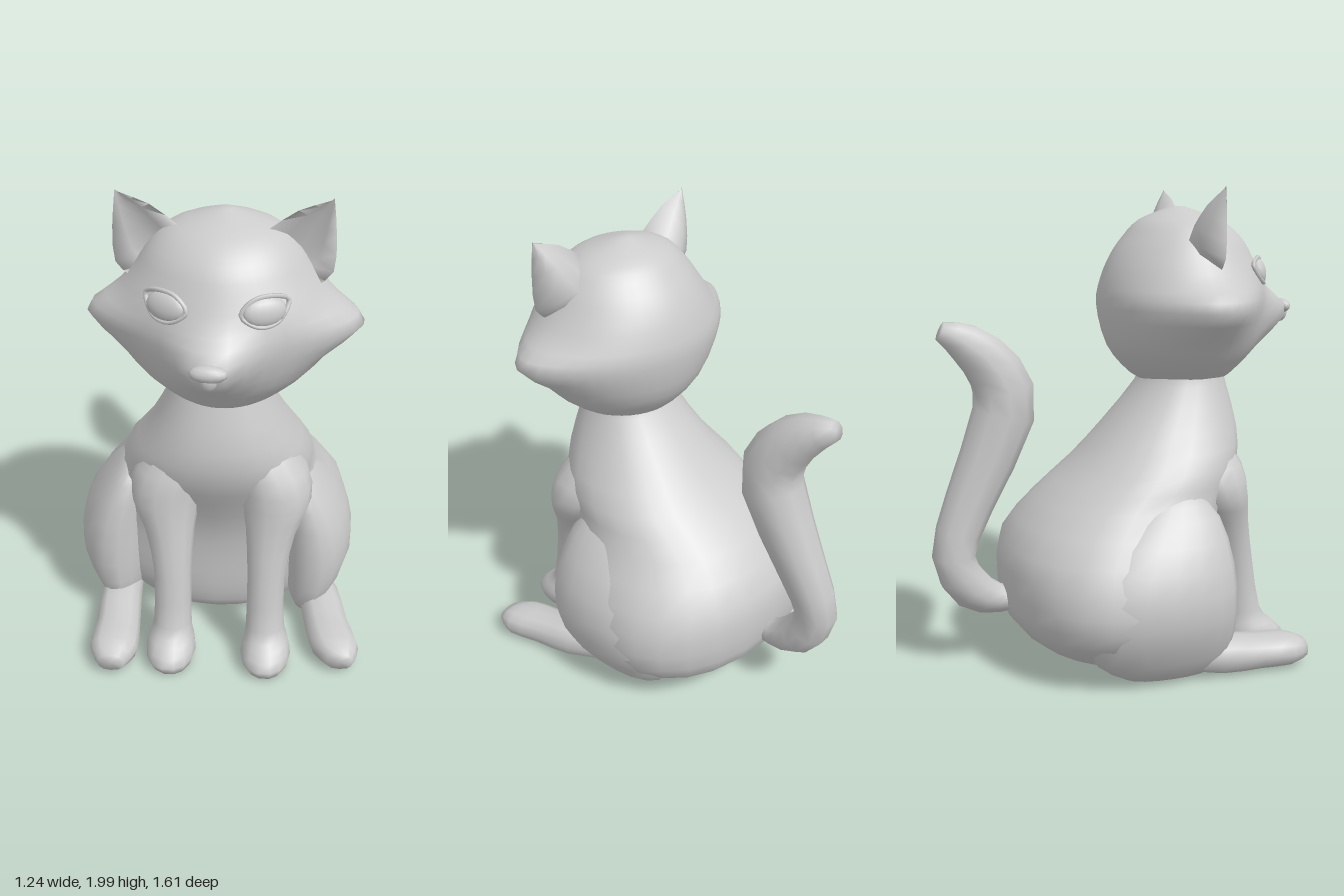
import * as THREE from 'three';

const V = (x, y, z) => new THREE.Vector3(x, y, z);
const X = V(1, 0, 0), Y = V(0, 1, 0), Z = V(0, 0, 1);
const material = new THREE.MeshStandardMaterial({ color: 0xcccccc });

function named(geometry, name) {
  const mesh = new THREE.Mesh(geometry, material);
  mesh.name = name;
  return mesh;
}

// Smooth in-between rows for a short list of cross-section rows
function refine(rows, steps) {
  const curve = new THREE.CubicInterpolant(rows.map((_, i) => i), rows.flat(), rows[0].length);
  const out = [];
  for (let i = 0; i <= (rows.length - 1) * steps; i++) out.push([...curve.evaluate(i / steps)]);
  return out;
}

// Rounded cross-section around c, spanned by the axes u and v (p = 2 is an ellipse)
function ring(c, u, v, ru, rv, p = 2, n = 18) {
  const bend = (t) => Math.sign(t) * Math.abs(t) ** (2 / p);
  return Array.from({ length: n }, (_, i) => {
    const a = (i / n) * Math.PI * 2;
    return c.clone().addScaledVector(u, ru * bend(Math.cos(a))).addScaledVector(v, rv * bend(Math.sin(a)));
  });
}

// Closed skin over a stack of rings; faces are turned outward by signed volume
function skin(rings) {
  const n = rings[0].length, pts = rings.flat(), idx = [];
  for (let r = 0; r < rings.length - 1; r++) {
    for (let i = 0; i < n; i++) {
      const a = r * n + i, b = r * n + ((i + 1) % n);
      idx.push(a, b, a + n, b, b + n, a + n);
    }
  }
  [rings[0], rings.at(-1)].forEach((ends, k) => {
    const mid = ends.reduce((s, p) => s.add(p), V(0, 0, 0)).divideScalar(n);
    const m = pts.push(mid) - 1, base = k ? (rings.length - 1) * n : 0;
    for (let i = 0; i < n; i++) {
      const a = base + i, b = base + ((i + 1) % n);
      k ? idx.push(a, b, m) : idx.push(b, a, m);
    }
  });
  let volume = 0;
  for (let i = 0; i < idx.length; i += 3) {
    volume += pts[idx[i]].dot(pts[idx[i + 1]].clone().cross(pts[idx[i + 2]]));
  }
  if (volume < 0) idx.reverse();
  const g = new THREE.BufferGeometry().setFromPoints(pts);
  g.setIndex(idx);
  g.computeVertexNormals();
  return g;
}

// Rows [y, x, z, rx, rz] stacked upward
const stack = (rows, p, n, steps = 2) => skin(refine(rows, steps)
  .map(([y, x, z, rx, rz]) => ring(V(x, y, z), X, Z, rx, rz, p, n)));

// Rows [y, front z, back z, half width, centre x] turned into stack rows
const fromProfile = (rows) => rows.map(([y, f, b, w, x]) => [y, x, (f + b) / 2, w, (f - b) / 2]);

function createHead() {
  const head = new THREE.Group();
  head.name = 'head';
  const skull = stack(fromProfile([
    [1.18, 0.45, 0.17, 0.15, 0], [1.22, 0.52, 0.08, 0.23, 0], [1.34, 0.61, -0.02, 0.36, 0],
    [1.51, 0.64, -0.06, 0.445, 0], [1.62, 0.64, -0.045, 0.4, 0], [1.72, 0.6, -0.005, 0.335, 0],
    [1.8, 0.55, 0.05, 0.28, 0], [1.87, 0.46, 0.12, 0.2, 0], [1.925, 0.31, 0.25, 0.03, 0],
  ]), 1.9, 40, 3);
  // Pull out the blunt muzzle and the pointed cheeks
  const pos = skull.attributes.position;
  for (let i = 0; i < pos.count; i++) {
    const x = pos.getX(i), y = pos.getY(i), z = pos.getZ(i);
    const drop = (y - 1.48) / (y < 1.48 ? 0.12 : 0.09);
    if (z > 0.3) pos.setZ(i, z + 0.155 * Math.exp(-(Math.abs(x / 0.14) ** 2.5) - drop ** 2));
    const cheek = Math.exp(-(((y - 1.51) / 0.085) ** 2) - ((z - 0.33) / 0.17) ** 2);
    pos.setX(i, x + 0.2 * x * cheek);
  }
  skull.computeVertexNormals();
  head.add(named(skull, 'skull'));

  const nose = named(new THREE.SphereGeometry(1, 14, 8), 'nose');
  nose.scale.set(0.07, 0.032, 0.035);
  nose.position.set(0, 1.495, 0.768);
  const noseTip = named(new THREE.SphereGeometry(1, 10, 8), 'noseTip');
  noseTip.scale.set(0.035, 0.045, 0.03);
  noseTip.position.set(0, 1.47, 0.766);
  head.add(nose, noseTip);

  for (const s of [-1, 1]) {
    const side = s < 0 ? 'right' : 'left';
    // Almond eye with a raised lid rim, outer corner up
    const eye = new THREE.Group();
    eye.name = side + 'Eye';
    const ball = named(new THREE.SphereGeometry(1, 16, 10), 'eyeball');
    ball.scale.set(0.082, 0.054, 0.028);
    const almond = new THREE.CatmullRomCurve3([
      V(0.098 * s, 0.03, -0.012), V(0.03 * s, 0.054, 0.006), V(-0.045 * s, 0.044, 0.006),
      V(-0.088 * s, -0.005, -0.004), V(-0.03 * s, -0.052, 0.006), V(0.045 * s, -0.042, 0.004),
    ], true);
    eye.add(ball, named(new THREE.TubeGeometry(almond, 28, 0.009, 6, true), 'eyelid'));
    eye.position.set(0.177 * s, 1.66, 0.588);
    eye.rotation.set(-0.25, 0.45 * s, 0, 'YXZ');
    head.add(eye);

    // Ear: rows are outer x, y, inner x, y, depth; hollow in front, rounded behind
    const ear = refine([
      [0.34, 1.66, 0.11, 1.83, 0.11], [0.405, 1.72, 0.16, 1.87, 0.11],
      [0.41, 1.86, 0.27, 1.95, 0.065], [0.395, 2, 0.385, 1.99, 0.004],
    ], 2).map(([ox, oy, ix, iy, d]) => {
      const outer = V(ox * s, oy, 0.35), inner = V(ix * s, iy, 0.35);
      const at = (t, k) => outer.clone().lerp(inner, t).add(V(0, 0, k * d * Math.sin(t * Math.PI)));
      return [at(0, 0), at(0.25, -0.4), at(0.5, -0.4), at(0.75, -0.4),
        at(1, 0), at(0.75, -1), at(0.5, -1), at(0.25, -1)];
    });
    head.add(named(skin(ear), side + 'Ear'));
  }
  // Slight turn to the model's right
  const pivot = new THREE.Group();
  pivot.name = 'turnedHead';
  head.position.z = -0.28;
  pivot.add(head);
  pivot.position.set(0.04, 0, 0.28);
  pivot.rotation.y = -0.06;
  return pivot;
}

function createTail() {
  // Rows: x, y, z, radius
  const rows = refine([
    [0, 0.3, -0.44, 0.055], [0, 0.29, -0.53, 0.062], [-0.01, 0.35, -0.65, 0.09],
    [-0.02, 0.5, -0.725, 0.09], [0, 0.72, -0.65, 0.103], [0.02, 1.08, -0.493, 0.13],
    [0.02, 1.26, -0.525, 0.117], [0.01, 1.38, -0.645, 0.085], [0, 1.435, -0.75, 0.04],
  ], 2);
  return skin(rows.map(([x, y, z, r], i) => {
    const a = rows[Math.max(i - 1, 0)], b = rows[Math.min(i + 1, rows.length - 1)];
    const across = V(0, b[1] - a[1], b[2] - a[2]).normalize().cross(X);
    return ring(V(x, y, z), X, across, r, r, 2, 10);
  }));
}

export function createModel() {
  const model = new THREE.Group();
  model.name = 'sittingCat';

  // Torso from seat to neck
  model.add(named(stack(fromProfile([
    [0.015, 0.24, -0.08, 0.2, 0], [0.05, 0.28, -0.26, 0.34, 0], [0.1, 0.31, -0.38, 0.44, 0],
    [0.21, 0.33, -0.49, 0.55, -0.01], [0.35, 0.34, -0.515, 0.59, -0.01], [0.53, 0.37, -0.5, 0.54, 0],
    [0.71, 0.45, -0.36, 0.425, 0], [0.85, 0.515, -0.19, 0.385, 0.01], [1, 0.53, -0.05, 0.295, 0.02],
    [1.18, 0.485, 0.1, 0.21, 0.02], [1.27, 0.46, 0.14, 0.19, 0.02],
  ]), 2.2, 24), 'torso'));

  for (const s of [-1, 1]) {
    const side = s < 0 ? 'right' : 'left';
    const mirror = (rows, mid) => rows.map(([y, x, ...rest]) => [y, mid + x * s, ...rest]);

    // Front leg, its shoulder sinking into the chest
    model.add(named(stack(mirror([
      [0.01, 0.2, 0.58, 0.085, 0.11], [0.06, 0.2, 0.575, 0.105, 0.14], [0.12, 0.2, 0.55, 0.093, 0.11],
      [0.18, 0.195, 0.525, 0.08, 0.08], [0.4, 0.195, 0.49, 0.078, 0.075], [0.6, 0.21, 0.43, 0.105, 0.1],
      [0.72, 0.225, 0.375, 0.145, 0.14], [0.85, 0.2, 0.33, 0.15, 0.165], [1, 0.12, 0.3, 0.1, 0.12],
    ], 0.03), 2.1, 14), side + 'FrontLeg'));

    model.add(named(stack(mirror([
      [0.03, 0.4, 0.08, 0.06, 0.18], [0.12, 0.42, 0.05, 0.11, 0.29], [0.3, 0.44, 0.03, 0.165, 0.33],
      [0.5, 0.425, 0.05, 0.15, 0.3], [0.68, 0.37, 0.12, 0.09, 0.19], [0.78, 0.34, 0.15, 0.03, 0.07],
    ], -0.01), 2.1, 18), side + 'Thigh'));

    // Hind foot running forward; the left one splays outward. Rows: x, y, z, rx, ry
    const splay = s > 0 ? 0.24 : 0, reach = s > 0 ? -0.07 : 0;
    const foot = refine([
      [0.4, 0.105, 0.12, 0.06, 0.06], [0.42, 0.095, 0.3, 0.09, 0.08], [0.41, 0.08, 0.48, 0.095, 0.07],
      [0.41, 0.075, 0.62, 0.1, 0.065], [0.41, 0.07, 0.7, 0.055, 0.04],
    ], 2).map(([x, y, z, rx, ry]) =>
      ring(V(s * x + splay * Math.max(z - 0.15, 0), y, z + reach), X, Y, rx, ry, 2.4, 12));
    model.add(named(skin(foot), side + 'HindFoot'));
  }

  model.add(named(createTail(), 'tail'), createHead());
  return model;
}
